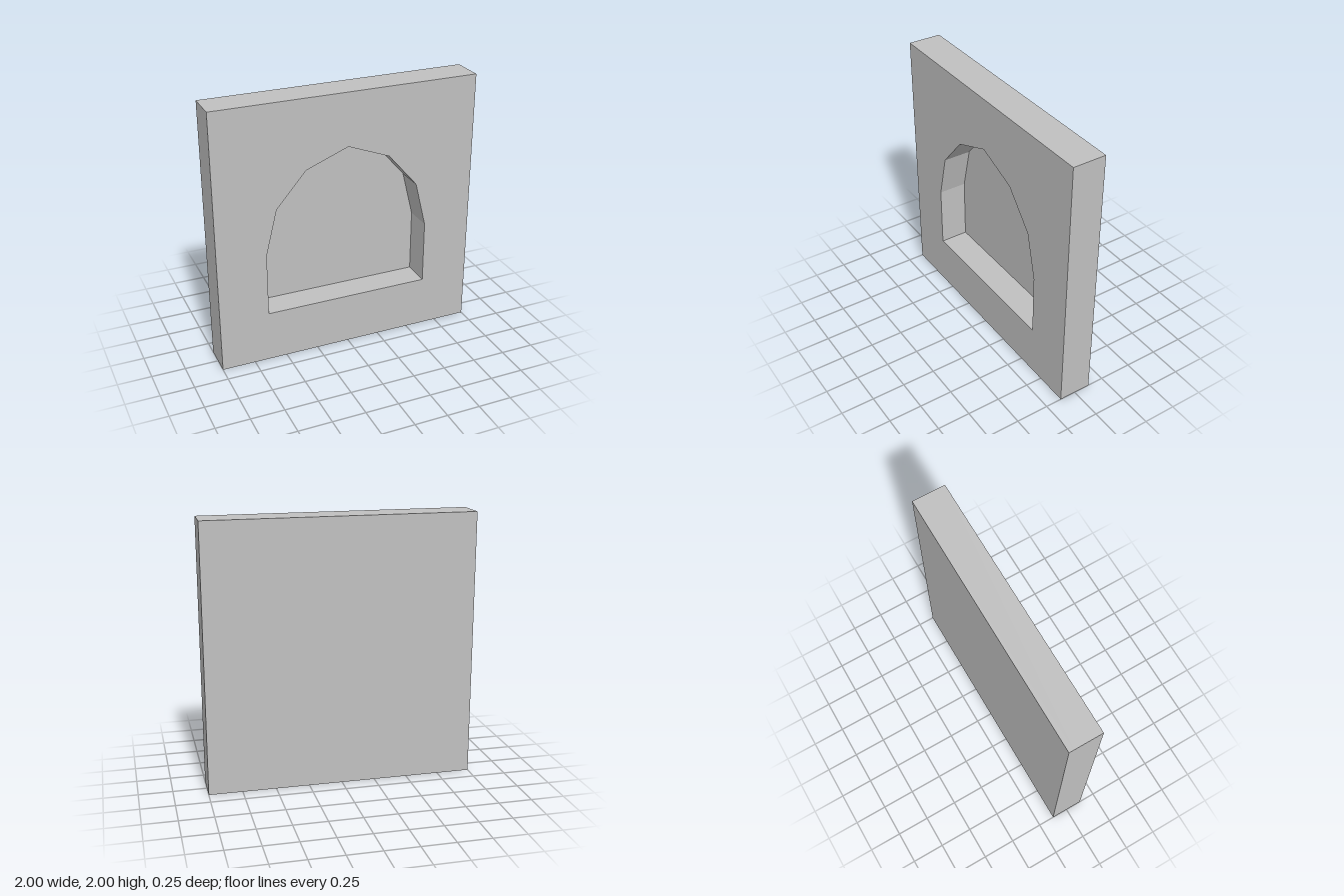
import * as THREE from 'three';

export function createModel() {
  const group = new THREE.Group();
  group.name = 'wallWithNiche';
  const stone = new THREE.MeshStandardMaterial({ color: 0xc0c0c0 });
  stone.name = 'grey stone';

  const depth = 0.25, backThickness = 0.035;
  const frameDepth = depth - backThickness;

  // Square wall outline
  const outline = new THREE.Shape([[-1, 0], [1, 0], [1, 2], [-1, 2]]
    .map(([x, y]) => new THREE.Vector2(x, y)));

  // Faceted arch opening: right half, then mirrored
  const half = [[0.63, 0.39], [0.63, 0.87], [0.545, 1.215], [0.32, 1.475]];
  const arch = [
    ...half,
    [0, 1.6],
    ...half.map(([x, y]) => [-x, y]).reverse(),
  ].map(([x, y]) => new THREE.Vector2(x, y));
  outline.holes.push(new THREE.Path(arch));

  // Front layer of the wall with the arched opening
  const frame = new THREE.Mesh(
    new THREE.ExtrudeGeometry(outline, { depth: frameDepth, bevelEnabled: false }), stone);
  frame.name = 'archedWall';
  frame.position.z = depth / 2 - frameDepth;
  group.add(frame);

  // Thin slab closing the back of the niche
  const back = new THREE.Mesh(new THREE.BoxGeometry(2, 2, backThickness), stone);
  back.name = 'backSlab';
  back.position.set(0, 1, -depth / 2 + backThickness / 2);
  group.add(back);

  return group;
}
